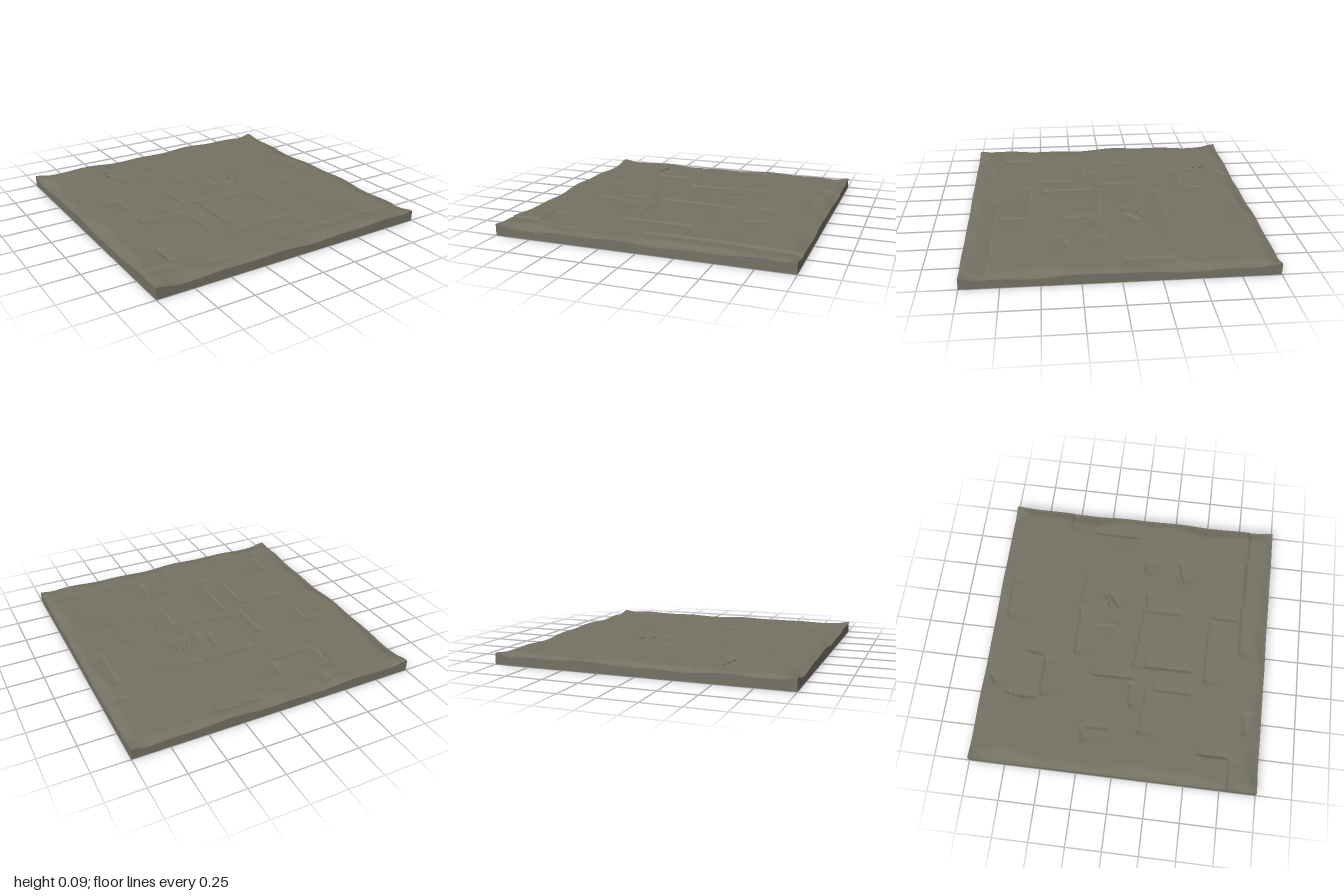
import * as THREE from 'three';

const N = 180;          // grid cells along each side
const TOP = 0.08;       // slab thickness

// Ledges [x0, z0, x1, z1, depth]; the low side lies to +z when running towards +x
const LEDGES = [
  [-0.47, -0.91, -0.36, -0.96, 0.012], [0.06, -0.92, 0.42, -0.92, 0.012],
  [-0.52, -0.58, -0.52, -0.84, 0.010], [-0.50, -0.58, -0.18, -0.58, 0.012],
  [-0.19, -0.58, -0.17, -0.75, 0.010], [0.84, -0.55, 1.02, -0.55, 0.012],
  [-0.16, -0.38, 0.24, -0.39, 0.013], [0.22, -0.40, 0.56, -0.36, 0.008],
  [-0.80, -0.24, -0.66, -0.27, 0.010], [-0.68, -0.04, -0.68, -0.26, 0.008],
  [-0.30, 0.10, -0.30, -0.25, 0.013], [-0.52, 0.06, -0.30, 0.04, 0.010],
  [0.10, -0.26, 0.10, -0.09, 0.010], [0.21, -0.07, 0.10, -0.08, 0.010],
  [0.23, -0.10, 0.36, -0.20, 0.010], [-0.22, 0.05, 0.40, 0.10, 0.012],
  [-0.70, 0.14, -0.34, 0.17, 0.011], [-0.36, 0.52, -0.36, 0.20, 0.011],
  [-0.19, 0.50, -0.19, 0.12, 0.012], [0.24, 0.38, 0.24, 0.10, 0.009],
  [0.53, 0.06, 0.68, 0.07, 0.010], [0.84, 0.00, 0.84, -0.38, 0.011],
  [0.48, 0.36, 0.68, 0.30, 0.010], [-0.28, 0.57, 0.24, 0.58, 0.012],
  [0.24, 0.80, 0.24, 0.58, 0.011], [-0.04, 0.80, 1.02, 0.83, 0.015],
  [-1.02, 0.79, -0.77, 0.79, 0.014], [-0.78, 0.80, -0.78, 0.56, 0.014],
  [-0.62, 0.87, -0.42, 0.88, 0.009],
];

const smooth = THREE.MathUtils.smoothstep;

// Gentle rolling wear, from -1 to 1
function wave(x, z) {
  return (Math.sin(x * 5.1 + Math.sin(z * 3.7) * 1.4) + Math.sin(z * 5.9 + Math.sin(x * 4.3) * 1.6 + 1.1)) / 2;
}

// Worn stone surface: waves, stepped ledges and chipped borders
function height(x, z) {
  let y = 0.0765 + 0.0035 * wave(x, z);
  for (const [x0, z0, x1, z1, depth] of LEDGES) {
    const len = Math.hypot(x1 - x0, z1 - z0);
    const dx = (x1 - x0) / len, dz = (z1 - z0) / len;
    const along = (x - x0) * dx + (z - z0) * dz;
    const across = (z - z0) * dx - (x - x0) * dz;
    if (across < 0 || across > 0.3 || along < 0 || along > len) continue;
    const ends = smooth(along, 0, 0.04) * smooth(len - along, 0, 0.04);
    y -= depth * ends * Math.exp(-across / 0.06);
  }
  const borders = [[1 - z, x, 0], [1 + z, x, 2.1], [1 - x, z, 4.4], [1 + x, z, 6.2]];
  for (const [dist, t, seed] of borders) {
    const chip = 0.5 + 0.3 * Math.sin(t * 6 + seed) + 0.2 * Math.sin(t * 14 + seed * 3);
    const width = 0.03 + 0.08 * chip;
    const corner = smooth(1 - Math.abs(t), 0, 0.12);
    y -= (0.005 + 0.022 * chip) * corner * (1 - smooth(dist, 0, width));
  }
  return Math.max(y, 0.035);
}

function topGeometry() {
  const geo = new THREE.PlaneGeometry(2, 2, N, N).rotateX(-Math.PI / 2);
  const p = geo.attributes.position;
  for (let i = 0; i < p.count; i++) p.setY(i, height(p.getX(i), p.getZ(i)));
  geo.computeVertexNormals();
  return geo;
}

// Vertical side whose upper rim follows the worn surface
function sideGeometry(angle) {
  const geo = new THREE.PlaneGeometry(2, TOP, N, 1).translate(0, TOP / 2, 1).rotateY(angle);
  const p = geo.attributes.position;
  for (let i = 0; i < p.count; i++) {
    if (p.getY(i) > TOP / 2) p.setY(i, height(p.getX(i), p.getZ(i)));
  }
  return geo;
}

export function createModel() {
  const group = new THREE.Group();
  group.name = 'stoneFloorSlab';
  const stone = new THREE.MeshStandardMaterial({ color: 0x757264 });
  stone.name = 'greyBrownStone';

  const add = (name, geo) => {
    const mesh = new THREE.Mesh(geo, stone);
    mesh.name = name;
    group.add(mesh);
    return mesh;
  };

  add('wornTop', topGeometry());
  ['frontSide', 'leftSide', 'backSide', 'rightSide'].forEach((name, i) =>
    add(name, sideGeometry(i * Math.PI / 2)));
  add('underside', new THREE.PlaneGeometry(2, 2).rotateX(Math.PI / 2));

  // Crumbled chips along three cracks: [x, z, length in x, length in z, peak height]
  const cracks = [[-0.52, -0.76, 0.03, 0.14, 0.094], [0.29, -0.20, 0.12, 0.06, 0.094], [0.52, 0.31, 0.09, 0.05, 0.081]];
  for (const [cx, cz, lx, lz, peak] of cracks) {
    for (let i = 0; i < 6; i++) {
      const t = i / 5 - 0.5;
      const size = 0.014 + 0.006 * Math.sin(i * 2.3);
      const chip = add('stoneChip', new THREE.IcosahedronGeometry(1, 0));
      chip.scale.set(size, 0.012, size * 0.8);
      chip.rotation.y = i * 1.7;
      chip.position.set(cx + t * lx, peak - 0.011 - 0.004 * (i % 3), cz - t * lz + 0.012 * Math.sin(i * 4));
    }
  }
  return group;
}
